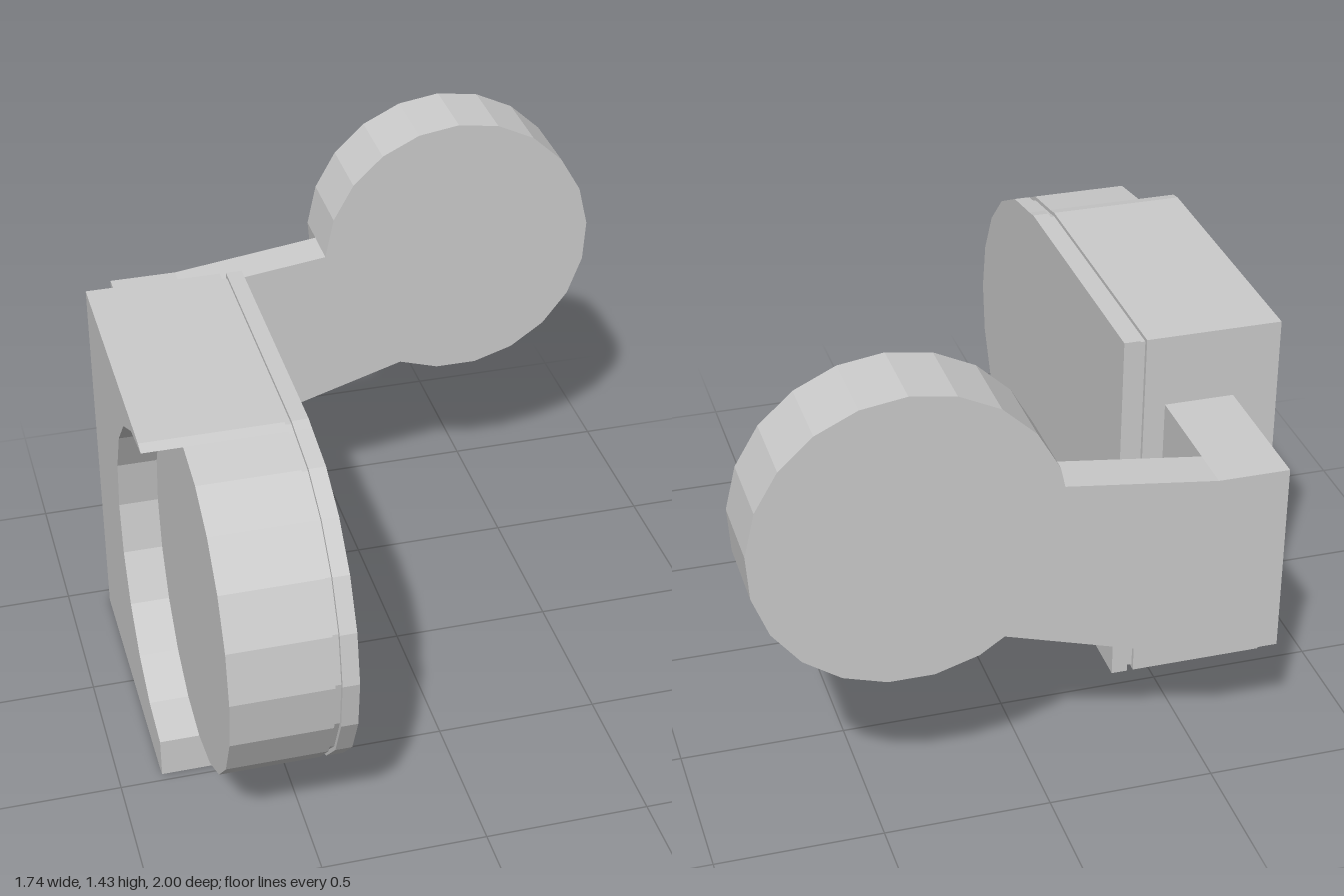
import * as THREE from 'three';

const material = new THREE.MeshStandardMaterial({ color: 0xcccccc, flatShading: true });

// Points on a regular polygon, from side index k0 to k1
function arc(cx, cy, r, sides, start, k0, k1) {
  const points = [];
  const step = Math.sign(k1 - k0);
  for (let k = k0; k !== k1 + step; k += step) {
    const a = start + (k * Math.PI * 2) / sides;
    points.push([cx + r * Math.cos(a), cy + r * Math.sin(a)]);
  }
  return points;
}

function extrude(points, depth) {
  const shape = new THREE.Shape(points.map(([x, y]) => new THREE.Vector2(x, y)));
  return new THREE.ExtrudeGeometry(shape, { depth, bevelEnabled: false });
}

function addPart(group, name, geometry) {
  const mesh = new THREE.Mesh(geometry, material);
  mesh.name = name;
  group.add(mesh);
}

// Slab with a (z, y) profile, spanning x0 to x1
function slab(points, x0, x1) {
  const geometry = extrude(points.map(([z, y]) => [-z, y]), x1 - x0);
  return geometry.rotateY(Math.PI / 2).translate(x0, 0, 0);
}

// Slab with an (x, y) profile, spanning z0 to z1
function plate(points, z0, z1) {
  return extrude(points, z1 - z0).translate(0, 0, z0);
}

export function createModel() {
  const group = new THREE.Group();

  // Housing profile: square back, small bottom lip, round front
  const lip = [[-0.445, 0], [0.44, 0], [0.48, 0.007]];
  const top = [[0.44, 1.18], [-0.445, 1.18]];
  const rounded = [...lip, ...arc(0.48, 0.652, 0.52, 20, 0, -5, 5), ...top];
  const hollow = [...lip, ...arc(0.48, 0.652, 0.52, 20, 0, 15, 5), ...top];
  const inset = rounded.map(([z, y]) => [0.275 + (z - 0.275) * 0.98, 0.59 + (y - 0.59) * 0.98]);

  addPart(group, 'outerGuard', slab(hollow, -0.87, -0.75));
  addPart(group, 'housing', slab(rounded, -0.75, -0.45));
  addPart(group, 'grooveCore', slab(inset, -0.45, -0.43));
  addPart(group, 'innerCover', slab(rounded, -0.43, -0.38));

  // Bracket leading back from the housing
  const bracket = new THREE.BoxGeometry(0.215, 0.603, 0.445);
  addPart(group, 'bracket', bracket.translate(-0.6225, 0.6515, -0.6675));

  // Flaring arm, ending on the rim of the disc
  const rim = (k0, k1) => arc(0.414, 0.98, 0.453, 21, Math.PI / 2, k0, k1);
  const arm = [[-0.515, 0.953], [-0.515, 0.35], ...rim(9, 5)];
  addPart(group, 'arm', plate(arm, -0.89, -0.752));

  // Faceted disc
  addPart(group, 'disc', plate(rim(0, 20), -1, -0.752));

  return group;
}
